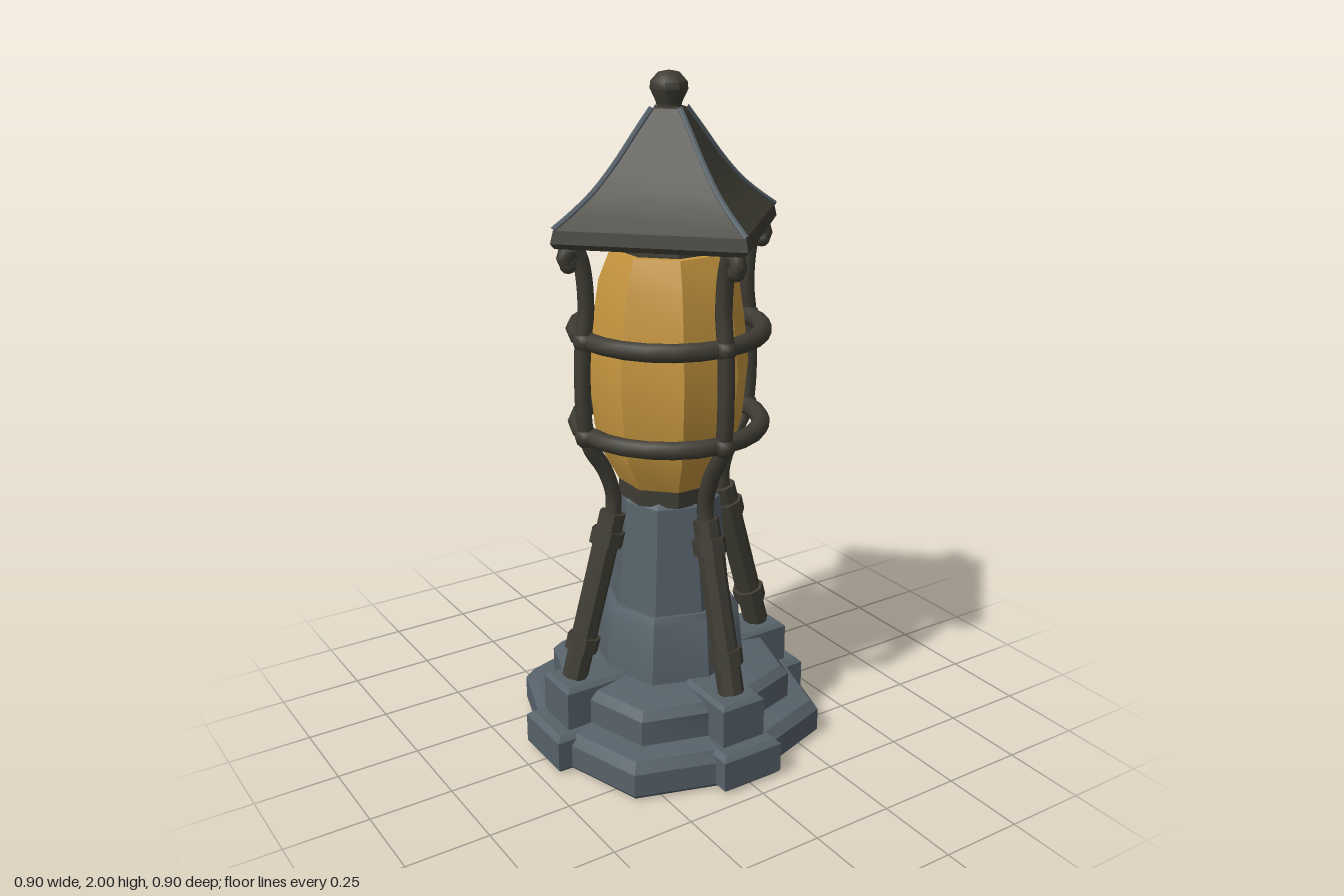
import * as THREE from 'three';
import { toCreasedNormals } from 'three/addons/utils/BufferGeometryUtils.js';

const slate = new THREE.MeshStandardMaterial({ color: 0x57626a });
slate.name = 'slate stone';
const iron = new THREE.MeshStandardMaterial({ color: 0x3e3c33 });
iron.name = 'dark iron';
const amber = new THREE.MeshStandardMaterial({ color: 0xc6963f });
amber.name = 'amber glass';

const v2 = ([x, y]) => new THREE.Vector2(x, y);
const v3 = ([x, y]) => new THREE.Vector3(x, y, 0);

function add(parent, name, geometry, material, crease = 0.6) {
  const mesh = new THREE.Mesh(toCreasedNormals(geometry, crease), material);
  mesh.name = name;
  parent.add(mesh);
  return mesh;
}

// Few-sided turned solid; axisScale pulls in the corners lying on the x and z axes
function turned(profile, sides, axisScale = 1, phase = 0) {
  const g = new THREE.LatheGeometry(profile.map(v2), sides, phase);
  const p = g.attributes.position;
  for (let i = 0; i < p.count; i++) {
    const x = p.getX(i), z = p.getZ(i);
    if (Math.min(Math.abs(x), Math.abs(z)) < 1e-4) p.setXYZ(i, x * axisScale, p.getY(i), z * axisScale);
  }
  return g;
}

// Bevelled block standing on y0, reaching outward to x1
function block(x0, x1, y0, y1, half, bevel) {
  const s = new THREE.Shape([[x0, -half], [x1 - bevel, -half], [x1 - bevel, half], [x0, half]].map(v2));
  const g = new THREE.ExtrudeGeometry(s, {
    depth: y1 - y0 - 2 * bevel, bevelEnabled: true, bevelSize: bevel,
    bevelThickness: bevel, bevelOffset: 0, bevelSegments: 1
  });
  return g.rotateX(-Math.PI / 2).translate(0, y0 + bevel, 0);
}

// Straight bar between two points in the xy plane
function bar(a, b, radius, sides) {
  const dx = b[0] - a[0], dy = b[1] - a[1];
  return new THREE.CylinderGeometry(radius, radius, Math.hypot(dx, dy), sides)
    .rotateY(Math.PI / sides)
    .rotateZ(Math.atan2(-dx, dy))
    .translate((a[0] + b[0]) / 2, (a[1] + b[1]) / 2, 0);
}

export function createModel() {
  const model = new THREE.Group();
  model.name = 'lantern';

  // Stepped stone base
  add(model, 'lowerPlinth', turned([[0.455, 0], [0.47, 0.015], [0.47, 0.085], [0.445, 0.115], [0.36, 0.125], [0, 0.125]], 8, 0.93), slate);
  add(model, 'plinthUnderside', turned([[0, 0.001], [0.455, 0.001]], 8, 0.93).translate(0, -0.001, 0), iron);
  add(model, 'upperPlinth', turned([[0.375, 0.11], [0.375, 0.2], [0.35, 0.225], [0.22, 0.245], [0, 0.245]], 8, 0.92), slate);

  // Tapered stone column in two stages
  add(model, 'lowerColumn', turned([[0.235, 0.23], [0.215, 0.42], [0.2, 0.445], [0, 0.45]], 8, 0.95), slate);
  add(model, 'upperColumn', turned([[0.19, 0.43], [0.17, 0.62], [0.155, 0.77], [0.14, 0.785], [0, 0.785]], 8, 0.95), slate);

  // Lamp: collar, glass and cap
  add(model, 'lampCollar', turned([[0.13, 0.77], [0.15, 0.775], [0.15, 0.83], [0.135, 0.84], [0, 0.84]], 8, 1, Math.PI / 8), iron);
  add(model, 'lampGlass', turned([[0, 0.82], [0.15, 0.825], [0.2, 0.92], [0.22, 1.0], [0.236, 1.17],
    [0.222, 1.3], [0.202, 1.43], [0.17, 1.51], [0, 1.52]], 8, 1, Math.PI / 8), amber, 0.3);
  add(model, 'lampCap', turned([[0, 1.505], [0.15, 1.505], [0.15, 1.53], [0.13, 1.6], [0, 1.6]], 8, 1, Math.PI / 8), iron);

  // Four-cornered flared roof with a hollow underside
  const slope = [[0.368, 1.6], [0.31, 1.637], [0.24, 1.69], [0.17, 1.762], [0.11, 1.835], [0.055, 1.9], [0, 1.915]];
  add(model, 'roof', turned([[0, 1.63], [0.2, 1.6], [0.34, 1.555], [0.365, 1.55], [0.378, 1.565], ...slope], 4), iron, 0.5);
  add(model, 'finial', turned([[0.05, 1.88], [0.034, 1.9], [0.037, 1.915], [0.054, 1.95], [0.052, 1.97],
    [0.03, 1.994], [0, 2]], 8), iron, 0.9);

  // Cage rings
  for (const y of [1.0, 1.28]) {
    const ring = new THREE.TorusGeometry(0.27, 0.027, 8, 24).rotateX(Math.PI / 2).translate(0, y, 0);
    add(model, 'cageRing', ring, iron, 1);
  }

  // Everything repeated on the four sides
  const foot = [0.335, 0.25], knee = [0.195, 0.75];
  const along = y => [foot[0] + (knee[0] - foot[0]) * (y - foot[1]) / (knee[1] - foot[1]), y];
  const strut = new THREE.CatmullRomCurve3([[0.197, 0.73], [0.193, 0.8], [0.222, 0.89], [0.27, 0.97], [0.285, 1.05],
    [0.285, 1.26], [0.272, 1.38], [0.283, 1.5], [0.3, 1.54], [0.325, 1.542], [0.335, 1.52], [0.325, 1.502]].map(v3));
  const ridge = new THREE.CatmullRomCurve3(slope.slice(0, 6).map(v3));

  for (let i = 0; i < 4; i++) {
    const side = new THREE.Group();
    side.name = 'side';
    side.rotation.y = i * Math.PI / 2;
    model.add(side);

    add(side, 'lowerButtress', block(0.2, 0.45, 0, 0.12, 0.085, 0.015), slate);
    add(side, 'upperButtress', block(0.15, 0.4, 0.11, 0.25, 0.06, 0.012), slate);

    add(side, 'leg', bar(foot, knee, 0.039, 8), iron);
    for (const y of [0.355, 0.675]) {
      add(side, 'legBand', bar(along(y - 0.022), along(y + 0.022), 0.05, 8), iron);
    }
    add(side, 'cageStrut', new THREE.TubeGeometry(strut, 44, 0.024, 8), iron, 1);
    add(side, 'hookTip', new THREE.SphereGeometry(0.025, 8, 6).translate(0.325, 1.502, 0), iron, 1);
    for (const y of [1.0, 1.28]) {
      add(side, 'ringRivet', new THREE.SphereGeometry(0.034, 8, 6).translate(0.28, y, 0), iron, 1);
    }

    // Worn edge along the roof ridge
    add(side, 'ridgeWear', new THREE.TubeGeometry(ridge, 16, 0.008, 6).translate(0.0015, 0.0015, 0), slate, 1);
  }
  return model;
}
